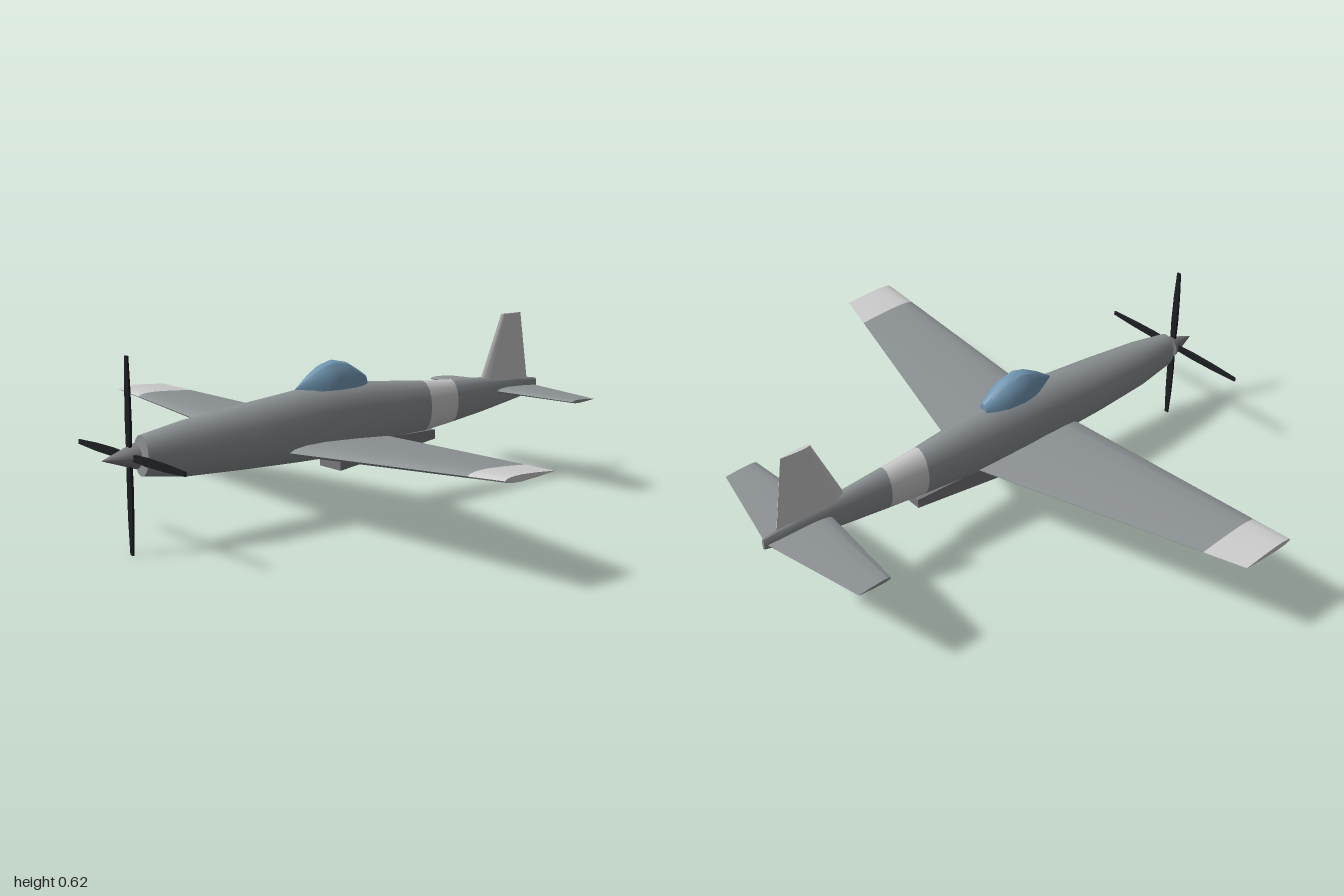
import * as THREE from 'three';
import { toCreasedNormals } from 'three/addons/utils/BufferGeometryUtils.js';

const paint = (color) => new THREE.MeshStandardMaterial({ color });

// Skin a list of equal-length closed rings of [x, y, z], cap both ends.
// materialOf(i) picks the material index for the span after ring i.
function loft(rings, crease, materialOf = () => 0) {
  const n = rings[0].length, index = [], spans = [];
  const pos = rings.flat();
  rings.slice(1).forEach((_, i) => {
    for (let j = 0; j < n; j++) {
      const a = i * n + j, b = i * n + (j + 1) % n;
      index.push(a, b, b + n, a, b + n, a + n);
    }
    spans.push([i * n * 6, n * 6, materialOf(i)]);
  });
  const last = (rings.length - 1) * n, capSize = (n - 2) * 3;
  spans.push([index.length, capSize, materialOf(0)]);
  for (let j = 1; j < n - 1; j++) index.push(0, j + 1, j);
  spans.push([index.length, capSize, materialOf(rings.length - 2)]);
  for (let j = 1; j < n - 1; j++) index.push(last, last + j, last + j + 1);
  // Turn the faces outward if the rings run the other way
  let volume = 0;
  const [a, b, c] = [0, 1, 2].map(() => new THREE.Vector3());
  for (let k = 0; k < index.length; k += 3) {
    a.fromArray(pos[index[k]]);
    b.fromArray(pos[index[k + 1]]);
    c.fromArray(pos[index[k + 2]]);
    volume += a.dot(b.cross(c));
  }
  if (volume < 0) {
    for (let k = 0; k < index.length; k += 3) [index[k + 1], index[k + 2]] = [index[k + 2], index[k + 1]];
  }
  const geometry = new THREE.BufferGeometry();
  geometry.setAttribute('position', new THREE.Float32BufferAttribute(pos.flat(), 3));
  geometry.setIndex(index);
  spans.forEach((s) => geometry.addGroup(...s));
  return toCreasedNormals(geometry, crease);
}

// Symmetric aerofoil as [distance along chord, half-thickness side]
const upper = [[0, 0], [0.04, 0.55], [0.15, 0.9], [0.32, 1], [0.65, 0.65], [1, 0.06]];
const aerofoil = [...upper, ...upper.slice(1).reverse().map(([t, h]) => [t, -h])];

export function createModel() {
  const model = new THREE.Group();
  const grey = paint(0x8c9194), light = paint(0xcccccc), dark = paint(0x1c1d22);
  const glass = paint(0x7298b4), metal = paint(0x77777c);

  function add(name, geometry, material, parent = model) {
    const mesh = new THREE.Mesh(geometry, material);
    mesh.name = name;
    parent.add(mesh);
    return mesh;
  }

  // Fuselage stations: z, half width, bottom, top
  const stations = [
    [0.80, 0.043, 0.237, 0.365], [0.64, 0.065, 0.214, 0.393], [0.42, 0.079, 0.204, 0.418],
    [0.20, 0.083, 0.197, 0.441], [0.05, 0.081, 0.195, 0.445], [-0.10, 0.073, 0.203, 0.437],
    [-0.35, 0.052, 0.231, 0.413], [-0.49, 0.042, 0.247, 0.404], [-0.65, 0.030, 0.268, 0.396],
    [-0.85, 0.015, 0.301, 0.380], [-0.94, 0.006, 0.325, 0.366],
  ];
  const bodyRings = stations.map(([z, w, lo, hi]) => Array.from({ length: 16 }, (_, j) => {
    const t = (j / 16) * Math.PI * 2;
    return [Math.cos(t) * w, (lo + hi) / 2 + Math.sin(t) * (hi - lo) / 2, z];
  }));
  add('fuselage', loft(bodyRings, 0.9, (i) => (i === 6 ? 1 : 0)), [grey, light]);

  // Wing with dihedral and pale tips: straight leading edge, swept trailing edge
  const wingRings = [-1, -0.86, 0, 0.86, 1].map((x) => {
    const s = Math.abs(x);
    const front = 0.29 - 0.003 * s, chord = 0.445 - 0.247 * s;
    const y = 0.244 + 0.081 * s, half = 0.021 - 0.011 * s;
    return aerofoil.map(([t, h]) => [x, y + h * half, front - t * chord]);
  });
  add('wing', loft(wingRings, 0.7, (i) => (i === 0 || i === 3 ? 1 : 0)), [grey, light]);

  // Tailplane
  const tailRings = [-0.36, 0, 0.36].map((x) => {
    const s = Math.abs(x) / 0.36;
    const front = -0.705 - 0.03 * s, chord = 0.225 - 0.11 * s;
    return aerofoil.map(([t, h]) => [x, 0.34 + h * (0.010 - 0.004 * s), front - t * chord]);
  });
  add('tailplane', loft(tailRings, 0.7), grey);

  // Fin
  const finRings = [[0.355, -0.628, -0.893, 0.017], [0.622, -0.745, -0.848, 0.007]].map(
    ([y, front, back, half]) => aerofoil.map(([t, h]) => [h * half, y, front + t * (back - front)]));
  add('fin', loft(finRings, 0.7), light);

  // Belly scoop: z, half width, bottom, top
  const scoopRings = [[0.07, 0.055, 0.158, 0.245], [-0.385, 0.032, 0.205, 0.238]].map(
    ([z, w, lo, hi]) => [[-w, lo, z], [w, lo, z], [w, hi, z], [-w, hi, z]]);
  add('bellyScoop', loft(scoopRings, 0.5), metal);

  // Canopy stations: z, half width, top
  const canopyRings = [
    [0.215, 0.004, 0.443], [0.155, 0.030, 0.487], [0.11, 0.046, 0.512], [0.065, 0.053, 0.525],
    [0.0, 0.048, 0.511], [-0.045, 0.033, 0.485], [-0.08, 0.017, 0.462],
  ].map(([z, w, top]) => Array.from({ length: 9 }, (_, j) => {
    const t = (j / 8) * Math.PI;
    return [Math.cos(t) * w, 0.43 + Math.sin(t) * (top - 0.43), z];
  }));
  add('canopy', loft(canopyRings, 0.5), glass);

  // Propeller: spinner and four tapered blades
  const propeller = new THREE.Group();
  propeller.name = 'propeller';
  propeller.position.set(0, 0.303, 0.84);
  model.add(propeller);
  const cone = new THREE.ConeGeometry(0.04, 0.115, 12).rotateX(Math.PI / 2).translate(0, 0, 0.0375);
  add('spinner', cone, metal, propeller);
  const bladeRings = [[0, 0.009], [0.1, 0.013], [0.2, 0.012], [0.303, 0.007]].map(([y, w]) => {
    const d = 0.005 - y * 0.007;
    return [[-w, y, -d], [w, y, -d], [w, y, d], [-w, y, d]];
  });
  const blade = loft(bladeRings, 0.5);
  for (let i = 0; i < 4; i++) {
    add('blade', blade, dark, propeller).rotation.z = (i * Math.PI) / 2;
  }

  return model;
}
